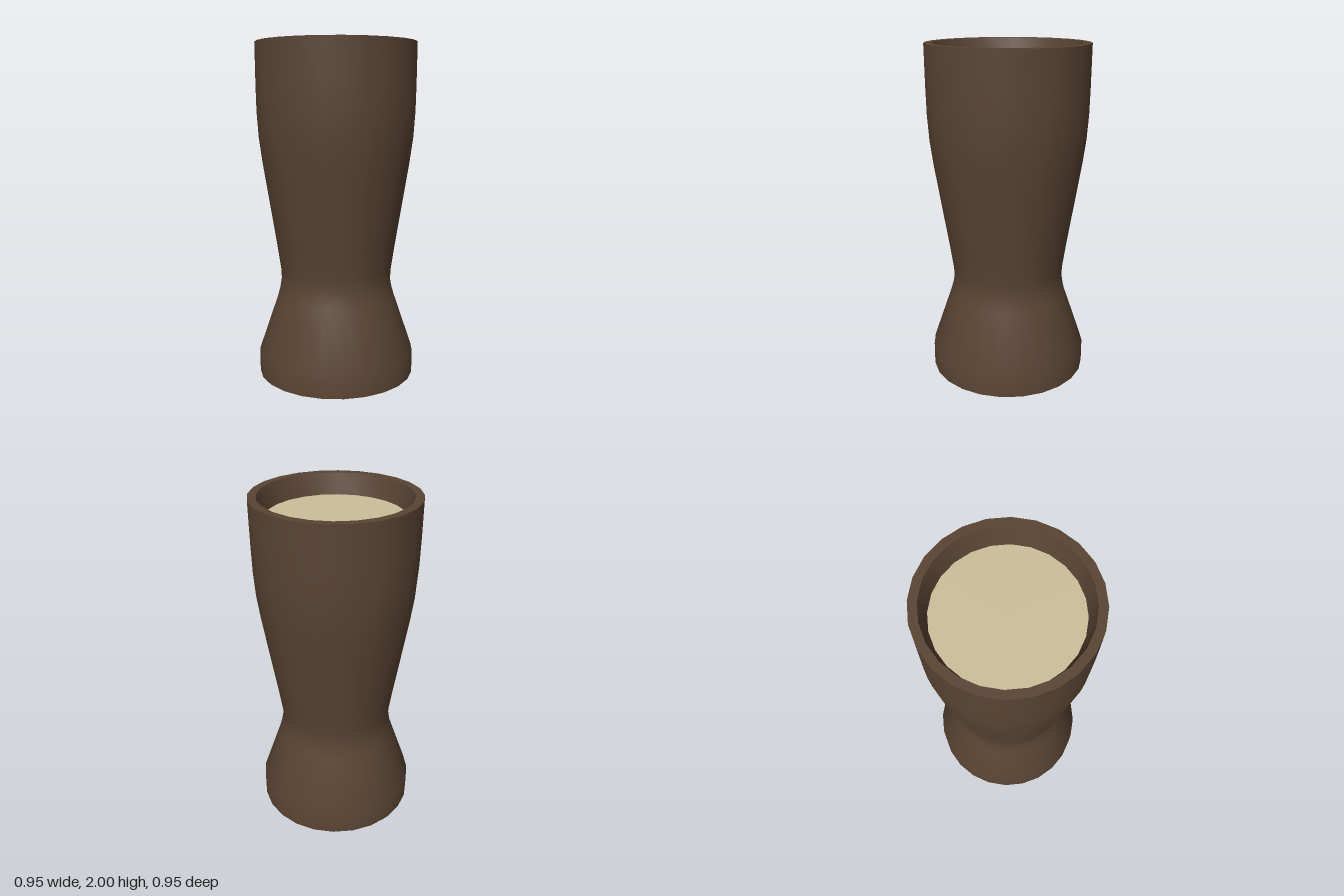
import * as THREE from 'three';
import { toCreasedNormals } from 'three/addons/utils/BufferGeometryUtils.js';

const SIDES = 24;

export function createModel() {
  const model = new THREE.Group();
  model.name = 'drinkingGlass';

  // Glass body: base, flared foot, waist, swelling wall, flat rim and inner wall
  const profile = [
    [0, 0], [0.475, 0], [0.475, 0.14], [0.36, 0.475], [0.345, 0.53],
    [0.335, 0.59], [0.338, 0.65], [0.36, 0.8], [0.44, 1.3], [0.46, 1.45],
    [0.47, 1.6], [0.473, 1.75], [0.475, 2], [0.427, 2], [0.393, 1.88],
  ].map(([r, y]) => new THREE.Vector2(r, y));
  const body = new THREE.Mesh(
    toCreasedNormals(new THREE.LatheGeometry(profile, SIDES), 0.6),
    new THREE.MeshStandardMaterial({ color: 0x5a4433 }),
  );
  body.name = 'glassBody';
  model.add(body);

  // Pale surface of the drink, set below the rim
  const drink = new THREE.Mesh(
    new THREE.CircleGeometry(0.393, SIDES).rotateX(-Math.PI / 2),
    new THREE.MeshStandardMaterial({ color: 0xcdbf9b }),
  );
  drink.name = 'drinkSurface';
  drink.position.y = 1.88;
  model.add(drink);

  return model;
}
